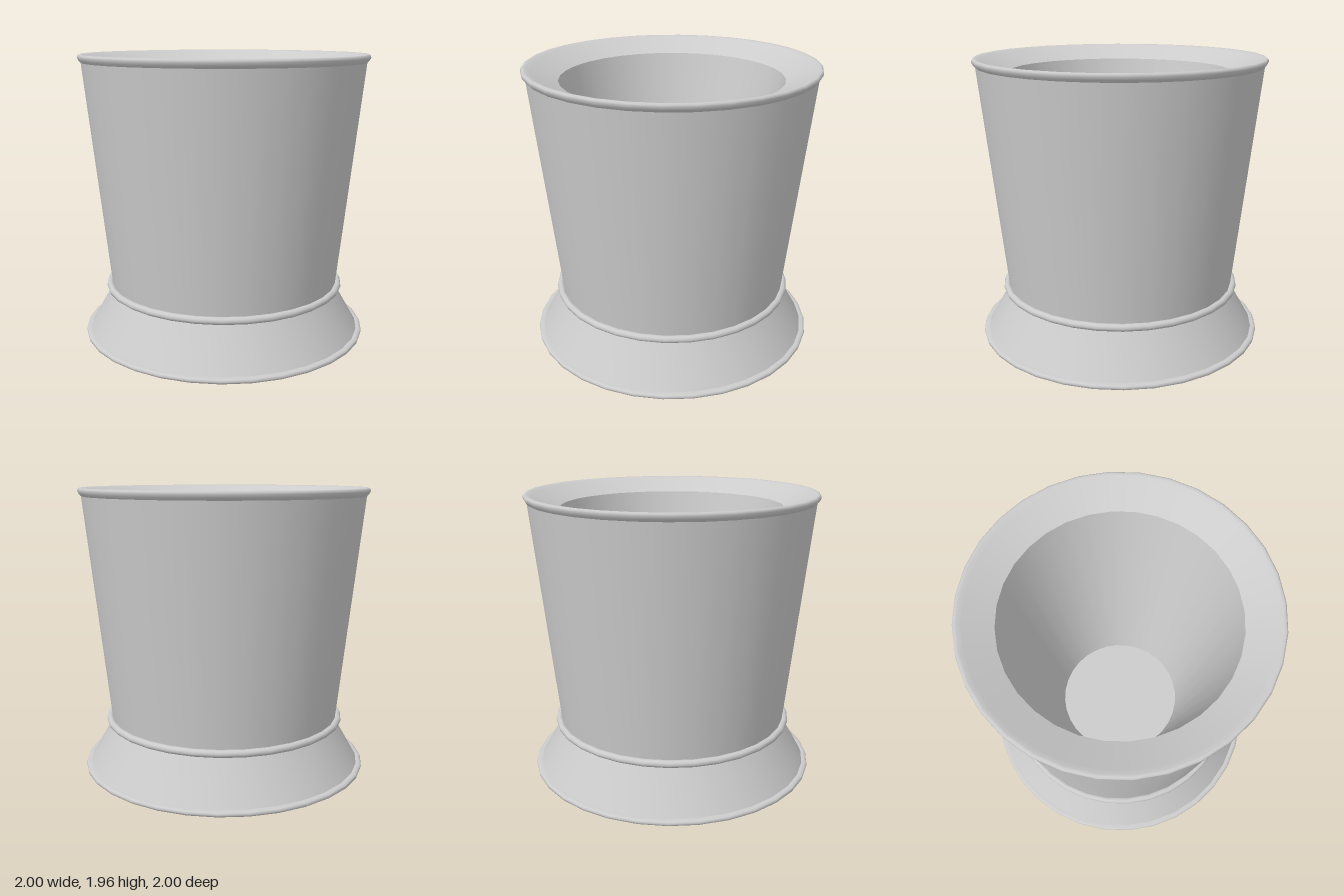
import * as THREE from 'three';

const SEGMENTS = 32;
const material = new THREE.MeshStandardMaterial({ color: 0xcccccc });

// Revolve a profile of [radius, height] pairs; each part keeps its own smooth normals,
// so the joints between parts stay crisp.
function turned(name, profile) {
  const points = profile.map(([r, y]) => new THREE.Vector2(r, y));
  const mesh = new THREE.Mesh(new THREE.LatheGeometry(points, SEGMENTS), material);
  mesh.name = name;
  return mesh;
}

export function createModel() {
  const model = new THREE.Group();
  model.name = 'flaredVessel';

  // Profiles run from the underside, up the outside, over the rim and down the inside
  model.add(
    turned('underside', [[0, 0], [0.985, 0]]),
    turned('footLip', [[0.985, 0], [0.997, 0.008], [1, 0.02], [0.995, 0.032], [0.98, 0.036], [0.962, 0.036]]),
    turned('pedestal', [[0.962, 0.036], [0.795, 0.325], [0.795, 0.345]]),
    turned('outerWall', [[0.803, 0.345], [0.968, 1.91]]),
    turned('rimLip', [
      [0.968, 1.905], [0.982, 1.92], [0.991, 1.938], [0.989, 1.952], [0.979, 1.96], [0.962, 1.957], [0.94, 1.948],
    ]),
    turned('slopedRim', [[0.94, 1.948], [0.753, 1.865]]),
    turned('innerWall', [[0.753, 1.865], [0.435, 0.38]]),
    turned('innerFloor', [[0.435, 0.38], [0, 0.38]]),
  );

  // Rounded bead around the waist
  const bead = new THREE.Mesh(new THREE.TorusGeometry(0.82, 0.025, 10, SEGMENTS), material);
  bead.name = 'waistBead';
  bead.rotation.x = -Math.PI / 2;
  bead.position.y = 0.345;
  model.add(bead);

  return model;
}
